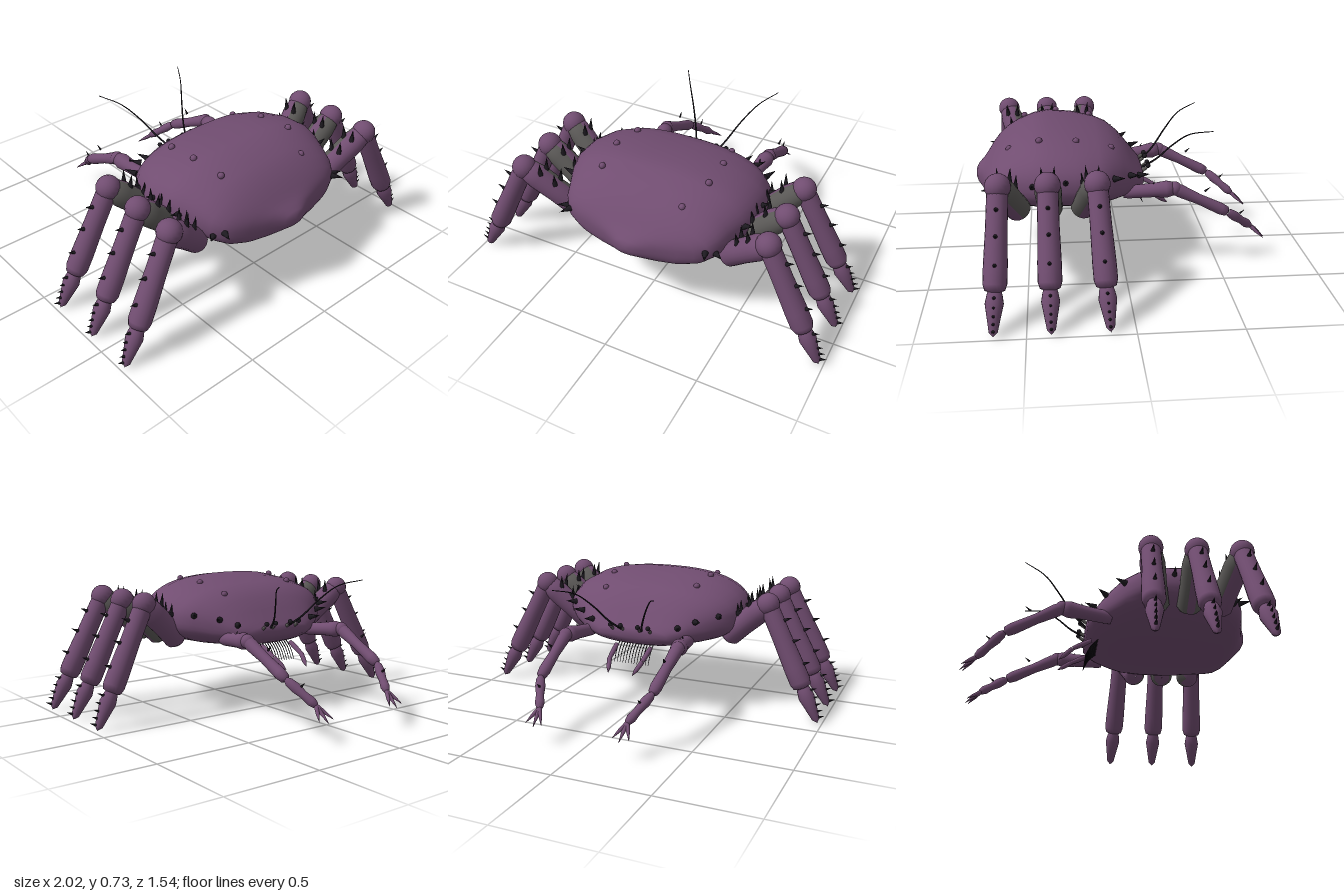
import * as THREE from 'three';

const V = (x, y, z) => new THREE.Vector3(x, y, z);
const UP = V(0, 1, 0);

export function createModel() {
  const model = new THREE.Group();
  model.name = 'crab';
  const mat = (name, color, side = THREE.FrontSide) => {
    const m = new THREE.MeshStandardMaterial({ color, side });
    m.name = name;
    return m;
  };
  const purple = mat('purple shell', 0x714d71);
  const grey = mat('grey joint skin', 0x5a5856);
  const dark = mat('dark spine', 0x1d1a20);

  const add = (parent, name, geo, material) => {
    const mesh = new THREE.Mesh(geo, material);
    mesh.name = name;
    parent.add(mesh);
    return mesh;
  };

  // Limb segment: profile of [t, radius] turned about the line a-b.
  // greySides lists the z directions (+1 / -1) whose faces are grey.
  const segment = (parent, name, a, b, profile, greySides = [], material = purple) => {
    const dir = b.clone().sub(a), len = dir.length();
    const geo = new THREE.LatheGeometry(profile.map(([t, r]) => new THREE.Vector2(r, t * len)), 20);
    const q = new THREE.Quaternion().setFromUnitVectors(UP, dir.normalize());
    geo.applyMatrix4(new THREE.Matrix4().compose(a, q, V(1, 1, 1)));
    if (!greySides.length) return add(parent, name, geo, material);
    const p = geo.attributes.position, idx = geo.index.array, sets = [[], []];
    const tri = new THREE.Triangle(), n = V();
    for (let i = 0; i < idx.length; i += 3) {
      tri.setFromAttributeAndIndices(p, idx[i], idx[i + 1], idx[i + 2]).getNormal(n);
      sets[greySides.some(s => n.z * s > 0.3) ? 1 : 0].push(idx[i], idx[i + 1], idx[i + 2]);
    }
    geo.setIndex([...sets[0], ...sets[1]]);
    geo.addGroup(0, sets[0].length, 0);
    geo.addGroup(sets[0].length, sets[1].length, 1);
    return add(parent, name, geo, [purple, grey]);
  };

  const ball = (parent, name, c, r, material = purple) =>
    add(parent, name, new THREE.SphereGeometry(r, 18, 12), material).position.copy(c);

  const spine = (parent, base, dir, len, r) => {
    const d = dir.clone().normalize();
    const m = add(parent, 'spine', new THREE.ConeGeometry(r, len, 8), dark);
    m.quaternion.setFromUnitVectors(UP, d);
    m.position.copy(base).addScaledVector(d, len / 2);
  };

  // Tapered hair-thin tube along a curve
  const whip = (parent, name, pts, r0, r1, material) => {
    const curve = new THREE.CatmullRomCurve3(pts), n = 20, k = 6;
    const geo = new THREE.TubeGeometry(curve, n, 1, k);
    const p = geo.attributes.position;
    for (let i = 0; i <= n; i++) {
      const c = curve.getPointAt(i / n), r = r0 + (r1 - r0) * i / n;
      for (let j = 0; j <= k; j++) {
        const id = i * (k + 1) + j;
        const v = V().fromBufferAttribute(p, id).sub(c).multiplyScalar(r).add(c);
        p.setXYZ(id, v.x, v.y, v.z);
      }
    }
    add(parent, name, geo, material);
  };

  // Body: rounded cross-sections [z, half width, top, widest height, bottom]
  const stations = [
    [-0.122, 0.1, 0.47, 0.45, 0.43], [-0.115, 0.2, 0.485, 0.45, 0.41], [-0.085, 0.26, 0.52, 0.46, 0.39],
    [-0.05, 0.305, 0.565, 0.47, 0.377], [0, 0.365, 0.625, 0.48, 0.37], [0.06, 0.435, 0.67, 0.5, 0.366],
    [0.13, 0.49, 0.695, 0.51, 0.363], [0.25, 0.52, 0.72, 0.52, 0.36], [0.38, 0.515, 0.735, 0.52, 0.356],
    [0.46, 0.49, 0.725, 0.515, 0.353], [0.55, 0.45, 0.69, 0.505, 0.35], [0.61, 0.425, 0.65, 0.495, 0.35],
    [0.655, 0.39, 0.605, 0.485, 0.35], [0.685, 0.33, 0.57, 0.475, 0.357], [0.705, 0.25, 0.545, 0.465, 0.367],
    [0.73, 0.14, 0.52, 0.46, 0.385], [0.758, 0.07, 0.495, 0.455, 0.41], [0.768, 0.03, 0.475, 0.45, 0.43],
  ];
  const N = 48, pos = [], index = [];
  const pw = (v, e) => Math.sign(v) * Math.abs(v) ** e;
  for (const [z, w, top, mid, bot] of stations) {
    for (let j = 0; j < N; j++) {
      const a = j / N * Math.PI * 2, s = Math.sin(a);
      pos.push(w * pw(Math.cos(a), 0.8), mid + pw(s, 0.85) * (s > 0 ? top - mid : mid - bot), z);
    }
  }
  const last = stations.length - 1;
  for (let i = 0; i < last; i++) for (let j = 0; j < N; j++) {
    const k = (j + 1) % N, a = i * N + j, b = i * N + k, c = a + N, d = b + N;
    index.push(a, b, d, a, d, c);
  }
  const capA = pos.length / 3;
  pos.push(0, 0.45, -0.123, 0, 0.45, 0.77);
  for (let j = 0; j < N; j++) {
    const k = (j + 1) % N;
    index.push(capA, k, j, capA + 1, last * N + j, last * N + k);
  }
  const bodyGeo = new THREE.BufferGeometry();
  bodyGeo.setAttribute('position', new THREE.Float32BufferAttribute(pos, 3));
  bodyGeo.setIndex(index);
  bodyGeo.computeVertexNormals();
  add(model, 'carapace', bodyGeo, purple);

  // Warts on the carapace
  for (const [x, y, z] of [[-0.27, 0.685, 0.15], [-0.285, 0.712, 0.335], [-0.265, 0.69, 0.51],
    [0.235, 0.65, 0.06], [0.27, 0.7, 0.24], [0.28, 0.71, 0.425], [0.215, 0.65, 0.58]])
    ball(model, 'wart', V(x, y, z), 0.017);

  for (const s of [1, -1]) {
    const P = (x, y, z) => V(x * s, y, z);

    // Walking legs: base z, knee z, foot tip z, grey sides
    for (const [bz, kz, tz, sides] of [[0.53, 0.615, 0.65, [-1]], [0.38, 0.387, 0.388, [1, -1]], [0.22, 0.157, 0.118, [1]]]) {
      const leg = new THREE.Group();
      leg.name = 'walkingLeg';
      model.add(leg);
      const base = P(0.43, 0.4, bz), knee = P(0.67, 0.62, kz);
      const ankle = P(0.885, 0.19, (kz + tz * 2) / 3), tip = P(0.975, 0.015, tz);
      segment(leg, 'upperLeg', base, knee,
        [[0, 0.001], [0.01, 0.045], [0.08, 0.064], [0.4, 0.062], [0.75, 0.065], [0.93, 0.056], [1, 0.03]], sides);
      ball(leg, 'knee', knee, 0.062);
      segment(leg, 'lowerLeg', knee, ankle,
        [[0, 0.04], [0.08, 0.05], [0.4, 0.051], [0.75, 0.056], [0.92, 0.056], [0.98, 0.047], [1.02, 0.001]]);
      segment(leg, 'foot', ankle, tip,
        [[-0.05, 0.03], [0.05, 0.036], [0.25, 0.043], [0.5, 0.034], [0.9, 0.02], [1, 0.001]]);
      const out = P(1, 0.42, 0);
      for (const t of [0.22, 0.47, 0.74])
        spine(leg, knee.clone().lerp(ankle, t).addScaledVector(out, 0.04), out, 0.05, 0.012);
      for (const t of [0.1, 0.32, 0.52, 0.7, 0.87])
        spine(leg, ankle.clone().lerp(tip, t).addScaledVector(out, 0.036 - t * 0.022), out, 0.035, 0.008);
      spine(leg, tip.clone().add(P(-0.008, 0.02, 0)), P(0.4, -1, 0), 0.025, 0.007);
      for (const [t, dz] of [[0.45, -0.025], [0.45, 0.025], [0.72, -0.025], [0.72, 0.025]])
        spine(leg, base.clone().lerp(knee, t).add(P(-0.03, 0.042, dz)), P(-0.1, 1, dz * 4), 0.075, 0.014);
    }

    // Spines around the carapace rim
    for (const [x, y, z, dx, dy, dz] of [[0.43, 0.55, 0.06, 0.5, 0.2, -0.9], [0.33, 0.53, -0.03, 0.7, 0.2, -0.7],
      [0.5, 0.55, 0.17, 1, 0.4, -0.2], [0.5, 0.56, 0.3, 1, 0.5, 0], [0.48, 0.54, 0.46, 1, 0.4, 0.1],
      [0.375, 0.49, 0.66, 0.4, 0.1, 1], [0.41, 0.47, 0.62, 0.9, 0.2, 0.7], [0.25, 0.5, -0.08, 0.4, 0.2, -1]])
      spine(model, P(x, y, z), P(dx, dy, dz), 0.065, 0.017);

    // Slender claw arm
    const arm = new THREE.Group();
    arm.name = 'clawArm';
    model.add(arm);
    const shoulder = P(0.285, 0.42, 0), elbow = P(0.322, 0.447, -0.26), wrist = P(0.31, 0.3, -0.55), palm = P(0.24, 0.19, -0.685);
    segment(arm, 'armBase', shoulder, elbow,
      [[0, 0.03], [0.1, 0.034], [0.6, 0.037], [0.85, 0.044], [0.97, 0.036], [1.04, 0.001]]);
    ball(arm, 'elbow', elbow, 0.037);
    segment(arm, 'forearm', elbow, wrist,
      [[0, 0.03], [0.1, 0.034], [0.45, 0.027], [0.85, 0.031], [0.96, 0.026], [1.01, 0.001]]);
    segment(arm, 'hand', wrist, palm,
      [[-0.02, 0.012], [0.08, 0.022], [0.3, 0.026], [0.6, 0.02], [0.85, 0.024], [1, 0.016], [1.05, 0.001]]);
    for (const [x, y, z] of [[0.192, 0.13, -0.755], [0.232, 0.118, -0.767], [0.28, 0.13, -0.755]])
      segment(arm, 'finger', palm, P(x, y, z), [[0, 0.011], [0.5, 0.009], [1, 0.001]]);
    spine(arm, P(0.318, 0.425, -0.42), P(0.1, 0.6, -0.7), 0.04, 0.007);
    spine(arm, P(0.275, 0.275, -0.62), P(0, 0.6, -0.7), 0.035, 0.006);
    spine(arm, P(0.31, 0.46, -0.15), P(0, 1, -0.3), 0.03, 0.008);

    // Antenna, eye stalks and mouth palp
    whip(model, 'antenna', [P(0.05, 0.46, -0.1), P(0.095, 0.53, -0.19), P(0.15, 0.625, -0.27),
      P(0.21, 0.7, -0.35), P(0.28, 0.735, -0.46)], 0.006, 0.002, dark);
    for (const x of [0.05, 0.11]) {
      segment(model, 'eyeStalk', P(x, 0.46, -0.1), P(x, 0.49, -0.14), [[0, 0.009], [1, 0.009]], [], grey);
      ball(model, 'eye', P(x, 0.5, -0.148), 0.013, dark);
    }
    segment(model, 'palp', P(0.1, 0.375, -0.09), P(0.095, 0.325, -0.19), [[0, 0.012], [0.5, 0.014], [1, 0.011]]);
    segment(model, 'palpTip', P(0.095, 0.325, -0.19), P(0.07, 0.268, -0.262), [[0, 0.013], [0.6, 0.012], [1, 0.001]]);
  }

  // Fringe of mouth bristles
  for (let i = 0; i < 13; i++) {
    const x = -0.1 + i * 0.2 / 12;
    whip(model, 'bristle', [V(x, 0.385, -0.05), V(x, 0.345, -0.09), V(x, 0.285, -0.122)], 0.003, 0.0015, dark);
  }
  return model;
}
